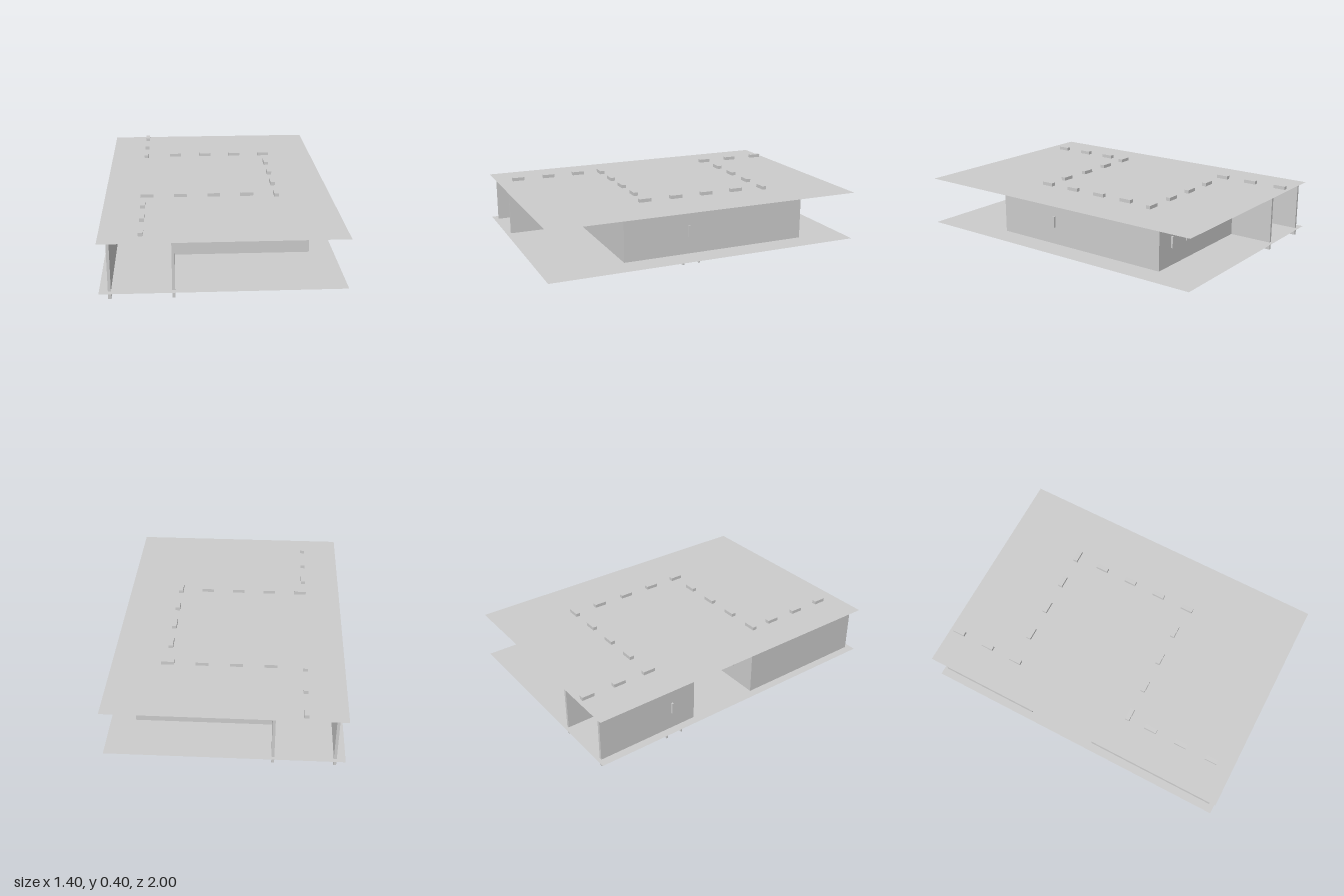
import * as THREE from 'three';

const grey = new THREE.MeshStandardMaterial({ color: 0xcccccc });
const thin = new THREE.MeshStandardMaterial({ color: 0xcccccc, side: THREE.DoubleSide });

// Box given by its lower and upper limits on each axis
function box(name, x0, x1, y0, y1, z0, z1) {
  const mesh = new THREE.Mesh(new THREE.BoxGeometry(x1 - x0, y1 - y0, z1 - z0), grey);
  mesh.position.set((x0 + x1) / 2, (y0 + y1) / 2, (z0 + z1) / 2);
  mesh.name = name;
  return mesh;
}

function sheet(name, y) {
  const mesh = new THREE.Mesh(new THREE.PlaneGeometry(1.4, 2), thin);
  mesh.rotation.x = -Math.PI / 2;
  mesh.position.y = y;
  mesh.name = name;
  return mesh;
}

// Door: local x runs along the wall, local z points into the corridor
function door(name, x, z, turn) {
  const g = new THREE.Group();
  g.name = name;
  const w = 0.0575, j = 0.009, h = 0.27;
  for (const s of [-1, 1]) {
    const c = s * (w - j / 2);
    g.add(box('doorJamb', c - j / 2, c + j / 2, 0, h, 0.005, 0.025));
  }
  g.add(box('doorHeader', -w + j, w - j, h - j, h, 0.005, 0.025));
  g.add(box('doorPanel', -w + j, w - j, 0.07, h - j, 0.007, 0.025));
  g.add(box('doorPushPlate', 0.016, 0.028, 0.18, 0.25, -0.012, 0.01));
  const knob = new THREE.Mesh(new THREE.SphereGeometry(0.004, 12, 8), grey);
  knob.position.set(0.037, 0.16, 0.027);
  knob.name = 'doorKnob';
  g.add(knob);
  g.position.set(x, 0, z);
  g.rotation.y = turn;
  return g;
}

export function createModel() {
  const model = new THREE.Group();
  model.name = 'corridor';

  // Floor and ceiling sheets
  model.add(sheet('floor', 0.072), sheet('ceiling', 0.374));

  // Walls: x0, x1, z0, z1
  const walls = {
    frontRightWall: [-0.65, -0.633, 0.12, 0.968],
    frontInnerWall: [-0.633, 0.161, 0.12, 0.137],
    middleInnerWall: [0.161, 0.178, -0.343, 0.137],
    backInnerWall: [-0.633, 0.161, -0.343, -0.326],
    backRightWall: [-0.65, -0.633, -0.977, -0.326],
    frontLeftWall: [-0.292, -0.275, 0.48, 0.968],
    frontOuterWall: [-0.275, 0.533, 0.48, 0.497],
    sideOuterWall: [0.533, 0.55, -0.703, 0.497],
    backOuterWall: [-0.275, 0.533, -0.703, -0.686],
    backLeftWall: [-0.292, -0.275, -0.977, -0.686],
  };
  for (const [name, [x0, x1, z0, z1]] of Object.entries(walls)) {
    model.add(box(name, x0, x1, 0.025, 0.372, z0, z1));
  }

  // Ceiling lights, following the corridor; 1 marks a light lying along z
  const lights = [];
  for (const z of [-0.935, -0.725, -0.52, 0.445, 0.652, 0.86]) lights.push([-0.462, z, 1]);
  for (let i = 0; i < 4; i++) {
    lights.push([-0.257 + i * 0.207, -0.521, 0]);
    lights.push([0.363, -0.333 + i * 0.207, 1]);
    lights.push([-0.44 + i * 0.207, 0.288, 0]);
  }
  for (const [x, z, along] of lights) {
    const a = along ? 0.014 : 0.039, b = along ? 0.039 : 0.014;
    model.add(box('ceilingLight', x - a, x + a, 0.366, 0.395, z - b, z + b));
  }

  // Doors at the corridor corners
  model.add(
    door('frontDoor', -0.507, 0.12, 0),
    door('sideDoor', 0.55, 0.057, -Math.PI / 2),
    door('backDoor', 0.402, -0.703, 0),
    door('rearSideDoor', -0.65, -0.465, Math.PI / 2),
  );

  // Wall boards and a low cabinet
  model.add(
    box('sideBoard', -0.636, -0.628, 0.155, 0.28, 0.3, 0.5),
    box('backBoard', -0.12, 0.27, 0.182, 0.25, -0.71, -0.68),
    box('cabinet', -0.42, -0.22, 0.017, 0.14, -0.37, -0.325),
  );

  return model;
}
